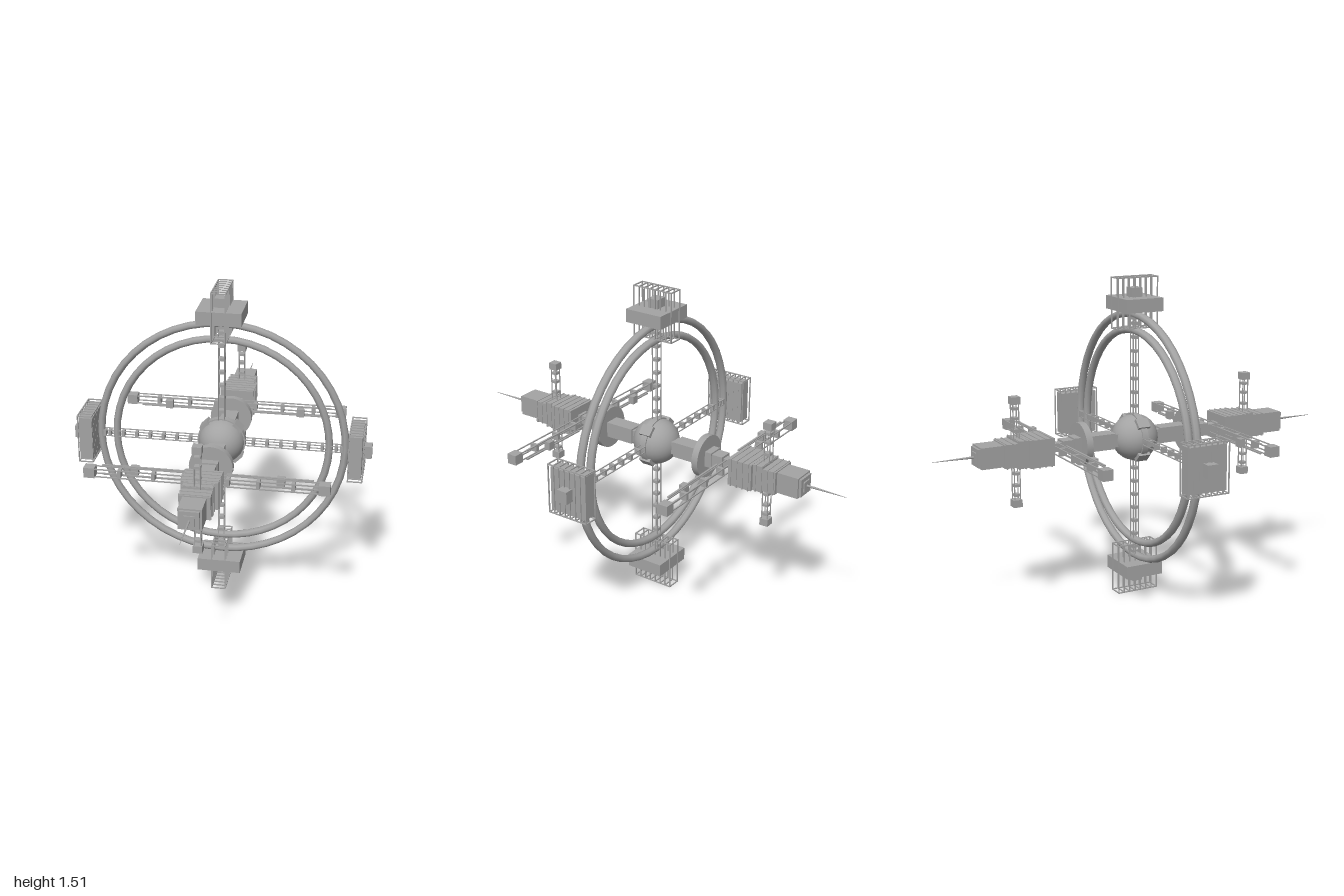
import * as THREE from 'three';

export function createModel() {
  const root = new THREE.Group();
  const grey = new THREE.MeshStandardMaterial({ color: 0xa3a3a3 });
  grey.name = 'hull grey';
  const station = new THREE.Group();
  station.name = 'station';
  station.position.y = 0.756;
  root.add(station);

  const add = (parent, name, geo, x = 0, y = 0, z = 0) => {
    const m = new THREE.Mesh(geo, grey);
    m.name = name;
    m.position.set(x, y, z);
    parent.add(m);
    return m;
  };
  const box = (parent, name, w, h, d, x, y, z) =>
    add(parent, name, new THREE.BoxGeometry(w, h, d), x, y, z);
  const group = (parent, name) => {
    const g = new THREE.Group();
    g.name = name;
    parent.add(g);
    return g;
  };

  // Open truss along +x: four rails and a row of blocks
  const truss = (parent, name, from, to, half, rail, blocks, blockLength) => {
    const g = group(parent, name);
    for (const sy of [-1, 1]) for (const sz of [-1, 1]) {
      box(g, 'rail', to - from, rail, rail, (from + to) / 2, sy * half, sz * half);
    }
    for (const x of blocks) box(g, 'trussBlock', blockLength, half * 2, half * 2, x, 0, 0);
    return g;
  };

  // Central sphere with belt and lugs
  const sphere = add(station, 'hub', new THREE.SphereGeometry(0.11, 24, 16));
  sphere.rotation.x = Math.PI / 2;
  const belt = add(station, 'hubBelt', new THREE.CylinderGeometry(0.114, 0.114, 0.03, 32));
  belt.rotation.x = Math.PI / 2;
  for (let i = 0; i < 4; i++) {
    const g = group(station, 'hubLug');
    g.rotation.z = Math.PI / 4 + i * Math.PI / 2;
    box(g, 'lug', 0.03, 0.05, 0.06, 0.105, 0, 0);
  }

  // Twin rings
  for (const [name, r] of [['outerRing', 0.582], ['innerRing', 0.507]]) {
    add(station, name, new THREE.TorusGeometry(r, 0.0175, 8, 48)).scale.z = 1.15;
  }

  // Spokes and the pods at their ends
  const spokeBlocks = Array.from({ length: 7 }, (_, i) => 0.15 + i * 0.065);
  for (let i = 0; i < 4; i++) {
    const arm = group(station, 'arm');
    arm.rotation.z = i * Math.PI / 2;
    truss(arm, 'spoke', 0.1, 0.585, 0.014, 0.004, spokeBlocks, 0.014);
    box(arm, 'ringJoint', 0.035, 0.03, 0.03, 0.575, 0, 0);
    box(arm, 'pod', 0.062, 0.208, 0.188, 0.633, 0, 0);
    box(arm, 'podHatch', 0.045, 0.06, 0.052, 0.684, 0, 0);

    // Slatted cage, upright on every pod
    const cage = group(station, 'cage');
    const a = i * Math.PI / 2;
    cage.position.set(0.637 * Math.cos(a), 0.637 * Math.sin(a), 0);
    const t = 0.005, hx = 0.033, hy = 0.117;
    for (let k = 0; k < 8; k++) {
      const z = -0.102 + k * 0.204 / 7;
      for (const s of [-1, 1]) {
        box(cage, 'slat', t, hy * 2, t, s * hx, 0, z);
        box(cage, 'slatEnd', hx * 2, t, t, 0, s * hy, z);
      }
    }
    for (const sx of [-1, 1]) for (const sy of [-1, 1]) {
      box(cage, 'cageRail', t, t, 0.209, sx * hx, sy * hy, 0);
    }
  }

  // Axial modules, front and back
  for (const side of [0, 1]) {
    const axis = group(station, side ? 'rearAxis' : 'frontAxis');
    axis.rotation.y = side * Math.PI;
    box(axis, 'collar', 0.06, 0.06, 0.04, 0, 0, 0.11);
    box(axis, 'corridor', 0.076, 0.074, 0.21, 0, 0, 0.225);
    box(axis, 'corridorEnd', 0.064, 0.06, 0.06, 0, 0, 0.355);
    const disc = add(axis, 'disc', new THREE.CylinderGeometry(0.101, 0.101, 0.032, 32), 0, 0, 0.28);
    disc.rotation.x = Math.PI / 2;
    box(axis, 'neck', 0.04, 0.04, 0.08, 0, 0, 0.415);
    box(axis, 'neckCollar', 0.056, 0.05, 0.014, 0, 0, 0.442);

    // Stepped end module: half width, half height, z start, z end
    const steps = [
      [0.083, 0.064, 0.45, 0.57], [0.068, 0.063, 0.57, 0.62], [0.068, 0.054, 0.62, 0.685],
      [0.052, 0.049, 0.685, 0.79], [0.043, 0.042, 0.79, 0.802], [0.024, 0.024, 0.802, 0.808],
    ];
    for (const [w, h, z0, z1] of steps) {
      box(axis, 'endModule', w * 2, h * 2, z1 - z0, 0, 0, (z0 + z1) / 2);
    }
    // Raised ribs on the module
    for (let k = 0; k < 8; k++) {
      const z = 0.465 + k * 0.03;
      const [w, h] = steps.find((s) => z < s[3]);
      box(axis, 'moduleRib', w * 2 + 0.006, h * 2 + 0.006, 0.005, 0, 0, z);
    }
    const needle = add(axis, 'antenna', new THREE.CylinderGeometry(0.001, 0.006, 0.195, 8), 0, 0, 0.9025);
    needle.rotation.x = Math.PI / 2;

    for (const s of [0, 1]) {
      // Long side booms
      const boom = group(axis, 'sideBoom');
      boom.position.z = 0.42;
      boom.rotation.z = s * Math.PI;
      truss(boom, 'boomTruss', 0.015, 0.51, 0.018, 0.005, [0.1, 0.235, 0.39], 0.016);
      box(boom, 'boomTip', 0.05, 0.048, 0.048, 0.527, 0, 0);
      for (const y of [-0.022, 0.022]) box(boom, 'slideRail', 0.385, 0.006, 0.009, 0.2825, y, -0.024);
      box(boom, 'carriage', 0.036, 0.04, 0.03, 0.33, 0, -0.04);

      // Short upright masts
      const mast = group(axis, 'mast');
      mast.position.z = 0.607;
      mast.rotation.z = Math.PI / 2 + s * Math.PI;
      truss(mast, 'mastTruss', 0.05, 0.23, 0.014, 0.004, [0.1, 0.155, 0.2], 0.012);
      box(mast, 'mastTip', 0.034, 0.042, 0.042, 0.238, 0, 0);
    }
  }
  return root;
}
